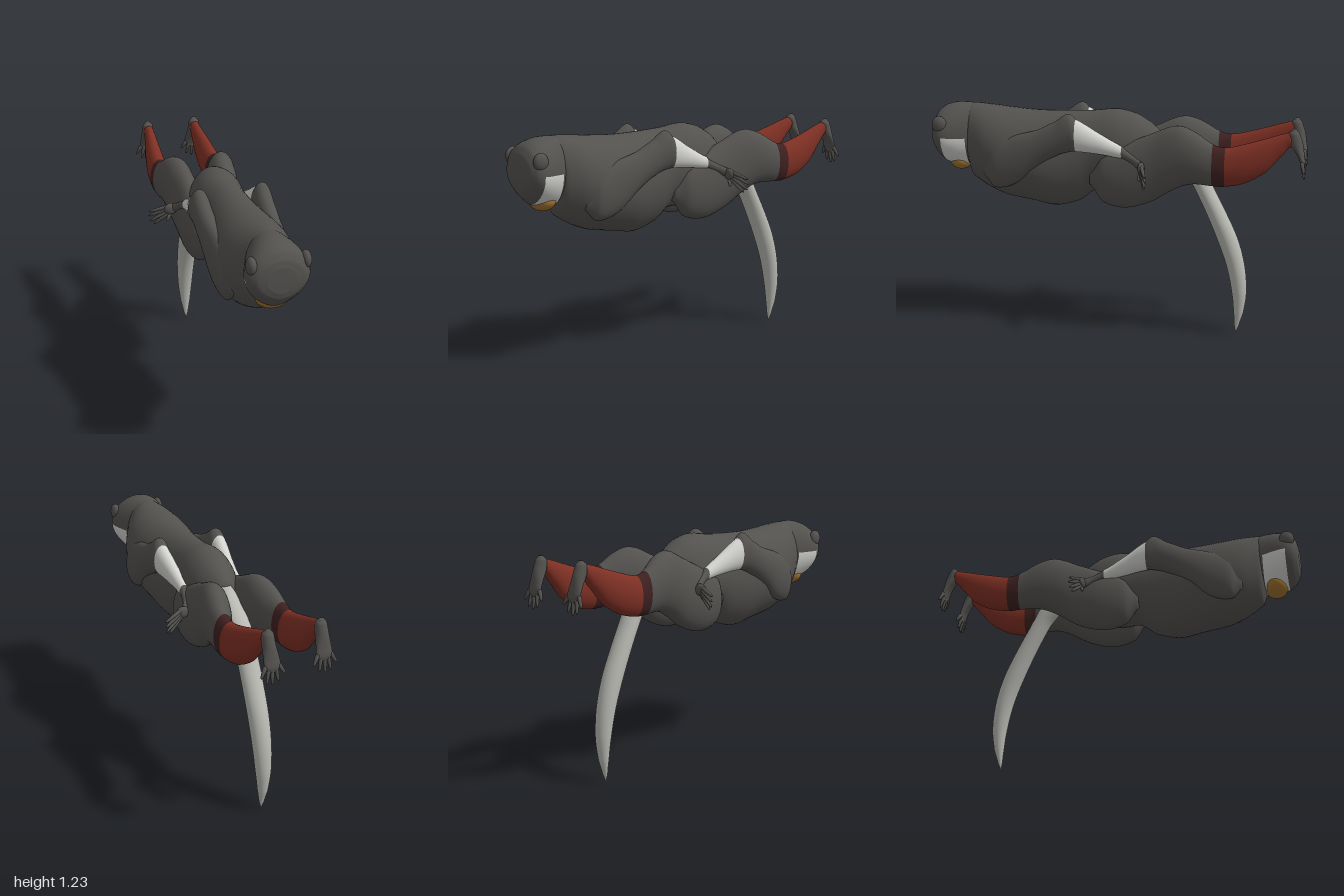
import * as THREE from 'three';

const mat = (name, color) => {
  const m = new THREE.MeshStandardMaterial({ color });
  m.name = name;
  return m;
};

const SIDES = 40, STEPS = 5;

// Smooth closed body through oval sections [t, centreX, radiusX, high, low], t decreasing along z or y.
// pick(segment, side) chooses the material index; pinch narrows the lower half to a V.
function loft(name, sections, materials, { axis = 'z', pinch = 0, pick = () => 0 } = {}) {
  const pos = [], index = [], geo = new THREE.BufferGeometry();
  const last = sections.length - 1, rings = last * STEPS;
  const at = (i, k) => sections[Math.min(last, Math.max(0, i))][k];
  const place = (x, h, t) => (axis === 'z' ? pos.push(x, h, t) : pos.push(x, t, h));
  const centres = [];
  for (let r = 0; r <= rings; r++) {
    const seg = Math.min(last - 1, Math.floor(r / STEPS)), u = r / STEPS - seg;
    const [t, cx, rx, hi, lo] = [0, 1, 2, 3, 4].map((k) => {
      const a = at(seg - 1, k), b = at(seg, k), c = at(seg + 1, k), d = at(seg + 2, k);
      if (k === 0) return b + (c - b) * u;
      return b + 0.5 * u * (c - a + u * (2 * a - 5 * b + 4 * c - d + u * (3 * (b - c) + d - a)));
    });
    centres.push([cx, (hi + lo) / 2, t]);
    for (let j = 0; j < SIDES; j++) {
      const a = (j / SIDES) * Math.PI * 2, s = Math.sin(a);
      const squeeze = 1 - pinch * Math.max(0, -s) ** 2;
      place(cx + rx * Math.cos(a) * squeeze, (hi + lo) / 2 + ((hi - lo) / 2) * s, t);
    }
  }
  place(...centres[0]);
  place(...centres[rings]);
  const tri = (a, b, c, m) => {
    const group = geo.groups[geo.groups.length - 1];
    if (group && group.materialIndex === m) group.count += 3;
    else geo.addGroup(index.length, 3, m);
    if (axis === 'z') index.push(a, c, b);
    else index.push(a, b, c);
  };
  const first = (rings + 1) * SIDES;
  for (let j = 0; j < SIDES; j++) tri(first, (j + 1) % SIDES, j, pick(0, j));
  for (let r = 0; r < rings; r++) {
    for (let j = 0; j < SIDES; j++) {
      const n = (j + 1) % SIDES, a = r * SIDES + j, b = r * SIDES + n;
      const m = pick(Math.floor(r / STEPS), j);
      tri(a, b, a + SIDES, m);
      tri(b, b + SIDES, a + SIDES, m);
    }
  }
  for (let j = 0; j < SIDES; j++) {
    tri(first + 1, rings * SIDES + j, rings * SIDES + (j + 1) % SIDES, pick(last - 1, j));
  }
  geo.setAttribute('position', new THREE.Float32BufferAttribute(pos, 3));
  geo.setIndex(index);
  geo.computeVertexNormals();
  const mesh = new THREE.Mesh(geo, materials);
  mesh.name = name;
  return mesh;
}

// Tapered finger or toe between two points
function digit(name, from, to, r, material) {
  const a = new THREE.Vector3(...from), d = new THREE.Vector3(...to).sub(a), l = d.length();
  const profile = [[0, 0], [r, 0.01], [r * 0.9, l * 0.5], [r * 0.65, l * 0.85], [r * 0.35, l * 0.97], [0, l]];
  const mesh = new THREE.Mesh(new THREE.LatheGeometry(profile.map((p) => new THREE.Vector2(...p)), 10), material);
  mesh.quaternion.setFromUnitVectors(new THREE.Vector3(0, 1, 0), d.normalize());
  mesh.position.copy(a);
  mesh.name = name;
  return mesh;
}

function ball(name, p, s, material) {
  const mesh = new THREE.Mesh(new THREE.SphereGeometry(1, 28, 20), material);
  mesh.position.set(...p);
  mesh.scale.set(...s);
  mesh.name = name;
  return mesh;
}

export function createModel() {
  const model = new THREE.Group();
  model.name = 'glidingFigure';
  const dark = mat('charcoal', 0x54524f), white = mat('paleGrey', 0xd2d2ce);
  const grey = mat('tailGrey', 0xb8b8b2), red = mat('brickRed', 0x7e3024);
  const maroon = mat('maroon', 0x3e2020), ochre = mat('ochre', 0xa0742f);

  // Torso with deep chest, narrow waist and rounded rump
  model.add(loft('torso', [
    [0.82, 0, 0.09, 1.22, 0.9], [0.79, 0, 0.125, 1.236, 0.83], [0.7, 0, 0.17, 1.23, 0.775],
    [0.6, 0, 0.19, 1.22, 0.735], [0.45, 0, 0.182, 1.21, 0.71], [0.33, 0, 0.165, 1.21, 0.69],
    [0.2, 0, 0.145, 1.215, 0.725], [0.12, 0, 0.14, 1.22, 0.785], [0, 0, 0.147, 1.232, 0.79],
    [-0.1, 0, 0.132, 1.21, 0.81], [-0.18, 0, 0.1, 1.165, 0.85], [-0.23, 0, 0.06, 1.12, 0.92],
    [-0.25, 0, 0.02, 1.06, 0.98],
  ], [dark], { pinch: 0.12 }));

  // Head: crown faces forward, pale face looks down
  model.add(loft('head', [
    [1, 0, 0.07, 1.13, 1.0], [0.992, 0, 0.115, 1.165, 0.97], [0.97, 0, 0.146, 1.2, 0.94],
    [0.935, 0, 0.157, 1.222, 0.908], [0.88, 0, 0.147, 1.236, 0.89], [0.81, 0, 0.122, 1.237, 0.885],
    [0.75, 0, 0.1, 1.23, 0.9],
  ], [dark, white], { pinch: 0.18, pick: (s, j) => (s >= 3 && s < 5 && j >= SIDES / 2 ? 1 : 0) }));
  model.add(ball('muzzle', [0, 0.925, 0.865], [0.085, 0.058, 0.065], ochre));

  // Tail hanging down and curving to a point
  model.add(loft('tail', [
    [1.1, 0, 0.035, -0.15, -0.25], [1.05, 0, 0.054, -0.17, -0.32], [0.95, 0, 0.056, -0.31, -0.45],
    [0.85, 0, 0.056, -0.4, -0.505], [0.7, 0, 0.056, -0.475, -0.582], [0.55, 0, 0.055, -0.54, -0.652],
    [0.4, 0, 0.051, -0.595, -0.694], [0.25, 0, 0.042, -0.628, -0.708], [0.13, 0, 0.028, -0.642, -0.694],
    [0.05, 0, 0.013, -0.648, -0.67], [0.01, 0, 0.002, -0.653, -0.657],
  ], [grey], { axis: 'y' }));

  for (const s of [1, -1]) {
    const side = s > 0 ? 'left' : 'right';
    const mirror = ([x, ...rest]) => [x * s, ...rest];
    const flip = (list) => list.map(([t, x, ...rest]) => [t, x * s, ...rest]);
    model.add(ball(side + 'Brow', mirror([0.132, 1.135, 0.945]), [0.026, 0.045, 0.04], dark));

    // Arm: dark upper arm, raised elbow, pale forearm, dark wrist
    model.add(loft(side + 'Arm', flip([
      [0.7, 0.13, 0.02, 0.97, 0.87], [0.64, 0.145, 0.05, 1.05, 0.81], [0.52, 0.155, 0.054, 1.1, 0.84],
      [0.4, 0.16, 0.053, 1.135, 0.94], [0.3, 0.163, 0.052, 1.185, 1.0], [0.23, 0.165, 0.051, 1.228, 1.025],
      [0.19, 0.167, 0.048, 1.2, 1.03], [0.08, 0.157, 0.038, 1.135, 1.02], [-0.05, 0.152, 0.026, 1.065, 1.0],
      [-0.11, 0.168, 0.02, 1.025, 0.975], [-0.16, 0.195, 0.018, 1.0, 0.95],
    ]), [dark, white], { pick: (k) => (k >= 6 && k < 8 ? 1 : 0) }));

    // Hand with spread fingers
    model.add(ball(side + 'Palm', mirror([0.213, 0.968, -0.162]), [0.036, 0.032, 0.018], dark));
    [[0.325, 0.948, -0.2], [0.326, 0.922, -0.205], [0.32, 0.893, -0.2], [0.3, 0.877, -0.192], [0.238, 0.905, -0.15]]
      .forEach((tip, i) => model.add(digit(side + 'Finger' + i,
        mirror([0.215, 0.985 - i * 0.011, -0.162]), mirror(tip), 0.011, dark)));

    // Leg: thigh, maroon band and red shin
    model.add(loft(side + 'Leg', flip([
      [0.13, 0.1, 0.02, 0.92, 0.84], [0.06, 0.105, 0.062, 1.02, 0.75], [-0.06, 0.11, 0.076, 1.07, 0.725],
      [-0.2, 0.112, 0.08, 1.13, 0.765], [-0.33, 0.125, 0.085, 1.18, 0.845], [-0.42, 0.141, 0.077, 1.16, 0.88],
      [-0.525, 0.16, 0.056, 1.1, 0.88], [-0.59, 0.16, 0.055, 1.085, 0.88], [-0.7, 0.156, 0.052, 1.11, 0.905],
      [-0.8, 0.148, 0.043, 1.14, 0.965], [-0.88, 0.141, 0.032, 1.165, 1.055], [-0.92, 0.14, 0.028, 1.175, 1.1],
    ]), [dark, maroon, red], { pick: (k) => (k < 6 ? 0 : k < 7 ? 1 : 2) }));

    // Foot bent down with splayed toes
    model.add(loft(side + 'Foot', flip([
      [1.19, 0.14, 0.012, -0.925, -0.945], [1.17, 0.14, 0.028, -0.905, -0.96], [1.12, 0.14, 0.033, -0.91, -0.978],
      [1.06, 0.138, 0.04, -0.95, -0.988], [1.02, 0.137, 0.042, -0.967, -0.994], [0.995, 0.136, 0.025, -0.974, -0.99],
    ]), [dark], { axis: 'y' }));
    [[0.075, 0.98], [0.108, 0.945], [0.14, 0.932], [0.17, 0.942], [0.2, 0.975]].forEach(([x, y], i) =>
      model.add(digit(side + 'Toe' + i, mirror([0.108 + i * 0.015, 1.035, -0.976]), mirror([x, y, -0.992]), 0.011, dark)));
  }
  return model;
}
